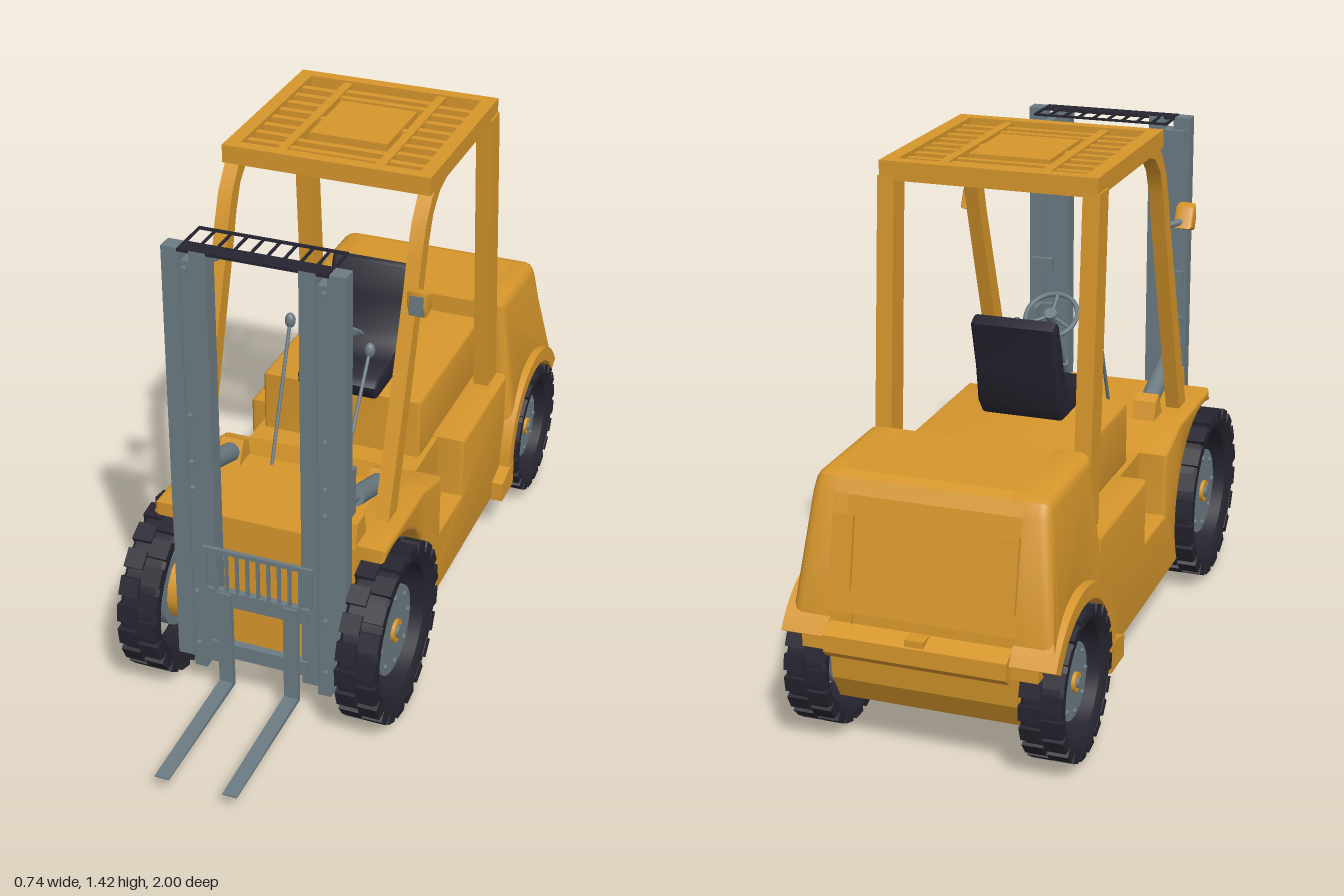
import * as THREE from 'three';
import { toCreasedNormals } from 'three/addons/utils/BufferGeometryUtils.js';

const mat = (name, color, side = THREE.FrontSide) => {
  const m = new THREE.MeshStandardMaterial({ color, side });
  m.name = name;
  return m;
};

export function createModel() {
  const root = new THREE.Group();
  root.name = 'forklift';
  const yellow = mat('yellowPaint', 0xd6962c);
  const steel = mat('greySteel', 0x6b7a82);
  const black = mat('blackRubber', 0x26242f);

  const add = (name, geo, m, parent = root) => {
    const mesh = new THREE.Mesh(geo, m);
    mesh.name = name;
    parent.add(mesh);
    return mesh;
  };
  // Box given by its limits on each axis
  const box = (name, m, x0, x1, y0, y1, z0, z1, parent) => {
    const g = new THREE.BoxGeometry(Math.abs(x1 - x0), y1 - y0, z1 - z0);
    g.translate((x0 + x1) / 2, (y0 + y1) / 2, (z0 + z1) / 2);
    return add(name, g, m, parent);
  };
  // Round bar between two points
  const rod = (name, m, a, b, r, parent) => {
    const p = new THREE.Vector3(...a), d = new THREE.Vector3(...b).sub(p);
    const mesh = add(name, new THREE.CylinderGeometry(r, r, d.length(), 14), m, parent);
    mesh.position.copy(p).addScaledVector(d, 0.5);
    mesh.quaternion.setFromUnitVectors(new THREE.Vector3(0, 1, 0), d.normalize());
    return mesh;
  };
  // Side profile of [z, y] points, extruded across x
  const slab = (pts, x0, x1, bevel = 0) => {
    const lo = Math.min(x0, x1), hi = Math.max(x0, x1);
    const shape = new THREE.Shape(pts.map(p => new THREE.Vector2(p[0], p[1])));
    const g = new THREE.ExtrudeGeometry(shape, {
      depth: hi - lo - 2 * bevel, bevelEnabled: bevel > 0, bevelThickness: bevel,
      bevelSize: bevel, bevelOffset: -bevel, bevelSegments: 3,
    });
    g.rotateY(-Math.PI / 2).translate(hi - bevel, 0, 0);
    return g;
  };
  const crease = (g, a = 0.6) => toCreasedNormals(g, a);
  const arc = (cz, cy, r, a0, a1, n = 18) => Array.from({ length: n + 1 }, (_, i) => {
    const a = a0 + (a1 - a0) * i / n;
    return [cz + r * Math.cos(a), cy + r * Math.sin(a)];
  });
  const sides = [1, -1];

  // Chassis core between the wheels
  add('chassis', slab([[0.51, 0.13], [0.51, 0.55], [0.2, 0.55], [0.05, 0.505], [-0.56, 0.505],
    [-0.56, 0.13]], -0.25, 0.25), yellow);
  add('counterweightCore', slab([[-0.55, 0.13], [-0.55, 0.735], [-0.84, 0.735], [-0.87, 0.725],
    [-0.89, 0.69], [-0.95, 0.4], [-0.955, 0.34], [-0.94, 0.21], [-0.9, 0.14], [-0.86, 0.13]],
  -0.245, 0.245), yellow);
  for (const s of sides) {
    // Body side with front wheel arch and step recess
    add('bodySide', crease(slab([[0.51, 0.55], [0.51, 0.51],
      ...arc(0.435, 0.25, 0.27, 1.3, Math.PI + 0.46),
      [-0.55, 0.13], [-0.55, 0.508], [-0.14, 0.508], [-0.14, 0.325], [0.05, 0.325],
      [0.05, 0.505], [0.2, 0.55]], s * 0.2, s * 0.328, 0.012)), yellow);
    // Counterweight flank, leaning inward towards the top
    const g = slab([[-0.55, 0.34], [-0.55, 0.735], [-0.84, 0.735], [-0.87, 0.725], [-0.89, 0.69],
      [-0.95, 0.4], [-0.955, 0.34], ...arc(-0.765, 0.21, 0.226, 2.53, 0.61)],
    s * 0.18, s * 0.335, 0.028);
    const p = g.attributes.position;
    for (let i = 0; i < p.count; i++) {
      if (Math.abs(p.getX(i)) > 0.24) p.setX(i, p.getX(i) - s * (p.getY(i) - 0.48) * 0.12);
    }
    g.computeVertexNormals();
    add('counterweightSide', crease(g), yellow);
    // Rear fender lip and its foot
    add('rearFender', crease(slab([...arc(-0.765, 0.21, 0.255, 0, 2.6),
      ...arc(-0.765, 0.21, 0.213, 2.6, 0)], s * 0.24, s * 0.36)), yellow);
    add('fenderFoot', slab([[-0.44, 0.13], [-0.44, 0.19], [-0.51, 0.21], [-0.55, 0.21], [-0.55, 0.13]],
      s * 0.24, s * 0.362), yellow);
    // Slanted rear panel
    const panel = add('rearPanel', new THREE.BoxGeometry(0.055, 0.19, 0.014), yellow);
    panel.position.set(s * 0.215, 0.55, -0.923);
    panel.rotation.x = 0.197;
  }
  box('rearBumper', yellow, -0.31, 0.31, 0.3, 0.36, -0.97, -0.9);
  add('bumperLip', slab([[-0.95, 0.3], [-0.98, 0.29], [-1, 0.31], [-1, 0.355], [-0.95, 0.375]], -0.24, 0.24), yellow);
  box('towHitch', yellow, -0.025, 0.025, 0.34, 0.375, -0.995, -0.95);
  add('engineHood', crease(slab([[-0.02, 0.5], [-0.56, 0.5], [-0.56, 0.68], [-0.02, 0.68]], -0.235, 0.235, 0.01)), yellow);

  // Overhead guard: pillars and slatted roof
  for (const s of sides) {
    add('frontPillar', crease(slab([[0.38, 0.54], [0.18, 1.13], [0.155, 1.22], [0.125, 1.3], [0.08, 1.36],
      [0.02, 1.4], [-0.06, 1.4], [-0.05, 1.375], [0.02, 1.355], [0.07, 1.31], [0.1, 1.24],
      [0.125, 1.15], [0.315, 0.54]], s * 0.25, s * 0.29)), yellow);
    add('rearPillar', slab([[-0.4, 1.38], [-0.47, 1.38], [-0.545, 0.5], [-0.465, 0.5]], s * 0.25, s * 0.295), yellow);
    box('roofSideRail', yellow, s * 0.25, s * 0.29, 1.37, 1.42, -0.47, 0.095);
    box('roofInnerRail', yellow, s * 0.125, s * 0.15, 1.38, 1.415, -0.46, 0.08);
    for (let i = 0; i < 8; i++) {
      const z = -0.385 + i * 0.055;
      box('roofSideSlat', yellow, s * 0.14, s * 0.26, 1.385, 1.41, z, z + 0.02);
    }
  }
  for (const z of [-0.47, 0.06]) box('roofEndRail', yellow, -0.285, 0.285, 1.37, 1.42, z, z + 0.035);
  for (const z of [-0.4, -0.355, -0.04, 0.01]) box('roofSlat', yellow, -0.14, 0.14, 1.385, 1.41, z, z + 0.02);
  box('roofPlate', yellow, -0.11, 0.11, 1.39, 1.415, -0.31, -0.075);
  for (const z of [-0.2]) box('roofPlateBar', yellow, -0.14, 0.14, 1.385, 1.41, z, z + 0.02);

  // Seat
  add('seat', crease(slab([[0.01, 0.69], [0.015, 0.72], [-0.01, 0.74], [-0.1, 0.742], [-0.18, 0.765],
    [-0.205, 0.8], [-0.225, 0.88], [-0.255, 0.965], [-0.27, 0.972], [-0.3, 0.955], [-0.265, 0.82],
    [-0.25, 0.72], [-0.22, 0.68], [0, 0.68]], -0.118, 0.118, 0.012), 0.8), black);

  // Steering wheel, column and levers
  const steer = new THREE.Group();
  steer.name = 'steeringWheel';
  add('rim', new THREE.TorusGeometry(0.073, 0.007, 8, 32), steel, steer);
  for (let i = 0; i < 3; i++) {
    const a = Math.PI / 2 + i * Math.PI * 2 / 3;
    rod('spoke', steel, [0, 0, 0], [0.07 * Math.cos(a), 0.07 * Math.sin(a), 0], 0.005, steer);
  }
  rod('hub', steel, [0, 0, -0.012], [0, 0, 0.012], 0.018, steer);
  steer.position.set(0, 0.892, 0.018);
  steer.rotation.x = 0.92;
  root.add(steer);
  rod('steeringColumn', steel, [0, 0.89, 0.02], [0, 0.7, 0.14], 0.007);
  rod('columnSleeve', steel, [0, 0.72, 0.125], [0, 0.54, 0.24], 0.013);
  for (const [x, y, z] of [[-0.112, 0.92, 0.07], [0.105, 0.85, 0.03]]) {
    rod('lever', steel, [x, y, z], [x * 0.95, 0.54, 0.23], 0.005);
    const knob = add('leverKnob', new THREE.SphereGeometry(0.015, 12, 10), steel);
    knob.position.set(x, y, z);
    knob.scale.y = 1.5;
  }

  for (const s of sides) {
    // Lamp on the front pillar
    add('lampHousing', crease(slab([[0.205, 1.12], [0.25, 1.105], [0.265, 1.14], [0.262, 1.18], [0.23, 1.175]],
      s * 0.288, s * 0.342, 0.01)), yellow);
    box('lampFace', steel, s * 0.296, s * 0.334, 1.115, 1.17, 0.256, 0.266);
    rod('lampArm', steel, [s * 0.27, 1.13, 0.17], [s * 0.31, 1.135, 0.22], 0.009);
    // Tilt cylinder with its mounts
    add('tiltMount', slab([[0.19, 0.54], [0.205, 0.6], [0.235, 0.615], [0.275, 0.54]], s * 0.185, s * 0.25), yellow);
    add('mastMount', slab([[0.435, 0.54], [0.45, 0.61], [0.5, 0.61], [0.515, 0.54]], s * 0.185, s * 0.25), yellow);
    rod('tiltCylinder', steel, [s * 0.215, 0.585, 0.26], [s * 0.215, 0.645, 0.43], 0.027);
    rod('tiltRod', steel, [s * 0.215, 0.64, 0.42], [s * 0.215, 0.69, 0.56], 0.014);
    box('mastLink', steel, s * 0.2, s * 0.23, 0.62, 0.755, 0.46, 0.495);
    box('mastLinkArm', steel, s * 0.2, s * 0.23, 0.74, 0.76, 0.46, 0.55);

    // Mast channels with tabs and bolts
    box('outerMast', steel, s * 0.195, s * 0.244, 0.115, 1.355, 0.525, 0.57);
    box('middleMast', steel, s * 0.163, s * 0.2, 0.08, 1.32, 0.53, 0.564);
    box('innerMast', steel, s * 0.122, s * 0.167, 0.115, 1.355, 0.525, 0.574);
    for (const y of [0.16, 0.33, 0.66, 0.74, 0.88, 1.3]) {
      box('mastTab', steel, s * 0.17, s * 0.235, y - 0.02, y + 0.02, 0.51, 0.53);
      rod('mastBolt', steel, [s * 0.185, y, 0.56], [s * 0.185, y, 0.578], 0.008);
    }

    // Fork
    box('forkShank', steel, s * 0.075, s * 0.115, 0.055, 0.36, 0.575, 0.592);
    add('forkTine', slab([[0.58, 0.055], [1, 0.055], [1, 0.059], [0.58, 0.069]], s * 0.075, s * 0.115), steel);
  }

  // Mast top grille
  box('topGrilleBar', black, -0.2, 0.2, 1.348, 1.356, 0.525, 0.573);
  box('topGrilleEdge', black, -0.2, 0.2, 1.35, 1.356, 0.438, 0.446);
  for (let i = 0; i < 10; i++) {
    const x = -0.197 + i * 0.0438;
    box('topGrilleSlat', black, x - 0.003, x + 0.003, 1.35, 1.356, 0.44, 0.53);
  }

  // Carriage and load guard
  box('carriageTop', steel, -0.14, 0.14, 0.315, 0.36, 0.56, 0.582);
  box('carriageBottom', steel, -0.14, 0.14, 0.145, 0.19, 0.56, 0.582);
  box('guardTop', steel, -0.157, 0.157, 0.482, 0.494, 0.572, 0.584);
  box('guardBottom', steel, -0.157, 0.157, 0.354, 0.364, 0.572, 0.584);
  for (let i = 0; i < 11; i++) {
    const x = -0.15 + i * 0.03;
    box('guardBar', steel, x - 0.004, x + 0.004, 0.358, 0.488, 0.574, 0.583);
  }

  // Wheels: lugged tyre, bolted disc and yellow axle drum
  const tyreProfile = [[0.188, -0.04], [0.21, -0.054], [0.232, -0.054], [0.24, -0.045], [0.24, 0.045],
    [0.232, 0.054], [0.21, 0.054], [0.188, 0.04], [0.188, -0.04]].map(p => new THREE.Vector2(...p));
  const tyre = crease(new THREE.LatheGeometry(tyreProfile, 48).rotateZ(-Math.PI / 2));
  const lug = new THREE.BoxGeometry(0.055, 0.03, 0.052);
  const wheel = (name, s, y, z, k) => {
    const w = new THREE.Group();
    w.name = name;
    add('tyre', tyre, black, w);
    for (let i = 0; i < 40; i++) {
      const a = i * Math.PI / 20, m = add('tread', lug, black, w);
      m.position.set(i % 2 ? 0.029 : -0.029, 0.234 * Math.cos(a), 0.234 * Math.sin(a));
      m.rotation.x = a;
    }
    rod('disc', steel, [-0.02, 0, 0], [0.02, 0, 0], 0.125, w).geometry =
      new THREE.CylinderGeometry(0.125, 0.125, 0.04, 40);
    rod('hubRing', yellow, [0, 0, 0], [0.03, 0, 0], 0.032, w);
    rod('hubCap', steel, [0, 0, 0], [0.037, 0, 0], 0.018, w);
    rod('axleDrum', yellow, [-0.1, 0, 0], [-0.02, 0, 0], 0.1, w);
    for (let i = 0; i < 8; i++) {
      const a = i * Math.PI / 4;
      const c = 0.102 * Math.cos(a), d = 0.102 * Math.sin(a);
      rod('wheelBolt', steel, [0.015, c, d], [0.026, c, d], 0.008, w);
    }
    w.position.set(s * 0.312, y, z);
    w.scale.set(1, k, k);
    if (s < 0) w.rotation.y = Math.PI;
    root.add(w);
  };
  for (const s of sides) {
    wheel('frontWheel', s, 0.25, 0.435, 1);
    wheel('rearWheel', s, 0.21, -0.765, 0.8);
  }
  return root;
}
